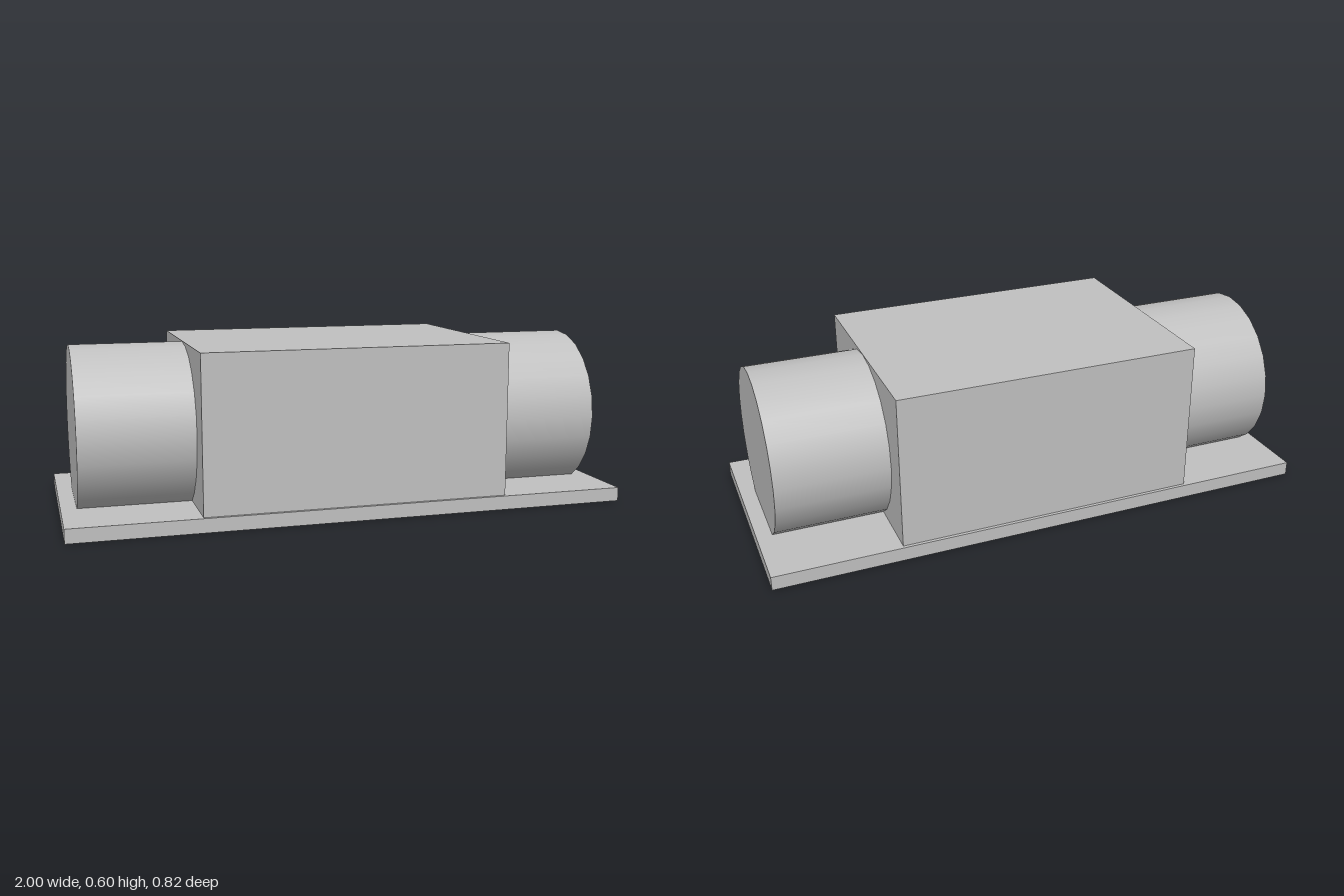
import * as THREE from 'three';

export function createModel() {
  const model = new THREE.Group();
  const grey = new THREE.MeshStandardMaterial({ color: 0xc0c0c0 });
  grey.name = 'light grey';

  const add = (name, geometry, x, y) => {
    const mesh = new THREE.Mesh(geometry, grey);
    mesh.name = name;
    mesh.position.set(x, y, 0);
    model.add(mesh);
  };

  // Thin mounting plate and the block standing on it
  const plateHeight = 0.05, height = 0.6, halfBody = 0.547, endX = 0.945;
  add('basePlate', new THREE.BoxGeometry(2, plateHeight, 0.82), 0, plateHeight / 2);
  add('body', new THREE.BoxGeometry(halfBody * 2, height - plateHeight, 0.796), 0, (height + plateHeight) / 2);

  // Round stubs at both ends, sunk slightly into the plate
  const length = endX - halfBody;
  const stub = new THREE.CylinderGeometry(0.298, 0.298, length, 24).rotateZ(Math.PI / 2);
  for (const side of [1, -1]) {
    add(side > 0 ? 'leftCylinder' : 'rightCylinder', stub, side * (halfBody + length / 2), 0.3);
  }
  return model;
}
